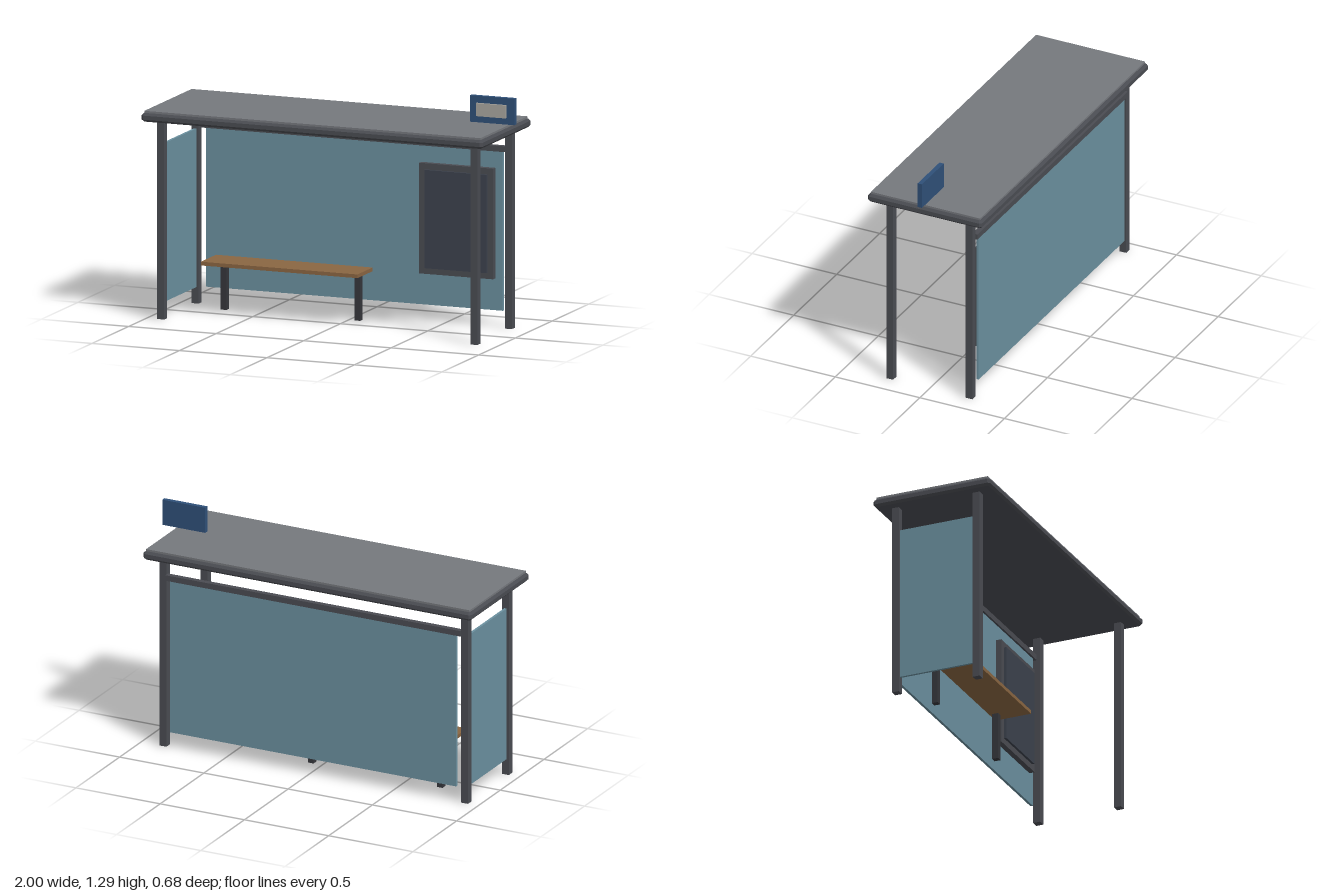
import * as THREE from 'three';

const mat = (color) => new THREE.MeshStandardMaterial({ color });

export function createModel() {
  const model = new THREE.Group();
  const frameMat = mat(0x4a4c52);
  const darkMat = mat(0x35363b);
  const roofMat = mat(0x75787d);
  const glassMat = mat(0x6b909f);
  const woodMat = mat(0x8a6642);
  const posterMat = mat(0x3c424d);
  const signMat = mat(0x2f5078);
  const plateMat = mat(0xa8a59e);

  // Box given by its extents along each axis
  const box = (name, material, [x0, x1], [y0, y1], [z0, z1]) => {
    const mesh = new THREE.Mesh(new THREE.BoxGeometry(x1 - x0, y1 - y0, z1 - z0), material);
    mesh.position.set((x0 + x1) / 2, (y0 + y1) / 2, (z0 + z1) / 2);
    mesh.name = name;
    model.add(mesh);
  };

  // Four corner posts
  for (const x of [-0.92, 0.87]) {
    for (const z of [-0.234, 0.234]) {
      box('post', frameMat, [x - 0.02, x + 0.02], [0, 1.075], [z - 0.02, z + 0.02]);
    }
  }

  // Roof slab with chamfered edges and corners
  const b = 0.012;
  const w = 0.975 - b, d = 0.338 - b, c = 0.006;
  const outline = new THREE.Shape([
    [-w + c, -d], [w - c, -d], [w, -d + c], [w, d - c],
    [w - c, d], [-w + c, d], [-w, d - c], [-w, -d + c],
  ].map(([x, y]) => new THREE.Vector2(x, y)));
  const slab = new THREE.ExtrudeGeometry(outline, {
    depth: 0.046 - 2 * b, bevelEnabled: true, bevelSize: b, bevelThickness: b, bevelSegments: 1,
  });
  slab.rotateX(-Math.PI / 2);
  const roof = new THREE.Mesh(slab, frameMat);
  roof.position.set(-0.025, 1.07 + b, 0);
  roof.name = 'roofSlab';
  model.add(roof);
  box('roofPanel', roofMat, [-0.985, 0.935], [1.11, 1.127], [-0.322, 0.322]);

  // Rear beam and glass walls
  box('rearBeam', frameMat, [-0.9, 0.85], [0.943, 0.974], [-0.264, -0.234]);
  box('rearGlass', glassMat, [-0.872, 0.825], [0.088, 0.945], [-0.259, -0.245]);
  box('sideGlass', glassMat, [-0.927, -0.913], [0.088, 0.94], [-0.215, 0.215]);

  // Poster case on the rear glass
  box('posterFrame', frameMat, [0.36, 0.783], [0.259, 0.853], [-0.245, -0.215]);
  box('posterPanel', posterMat, [0.395, 0.75], [0.292, 0.82], [-0.22, -0.202]);

  // Bench
  box('benchSeat', woodMat, [-0.77, 0.125], [0.266, 0.286], [-0.141, 0.065]);
  for (const x of [-0.705, 0.06]) {
    box('benchLeg', darkMat, [x - 0.016, x + 0.016], [0.005, 0.266], [-0.123, -0.089]);
  }

  // Sign above the roof end
  box('signBoard', signMat, [0.745, 1], [1.145, 1.287], [-0.012, 0.013]);
  box('signPlate', plateMat, [0.785, 0.955], [1.18, 1.25], [0.01, 0.026]);

  return model;
}
